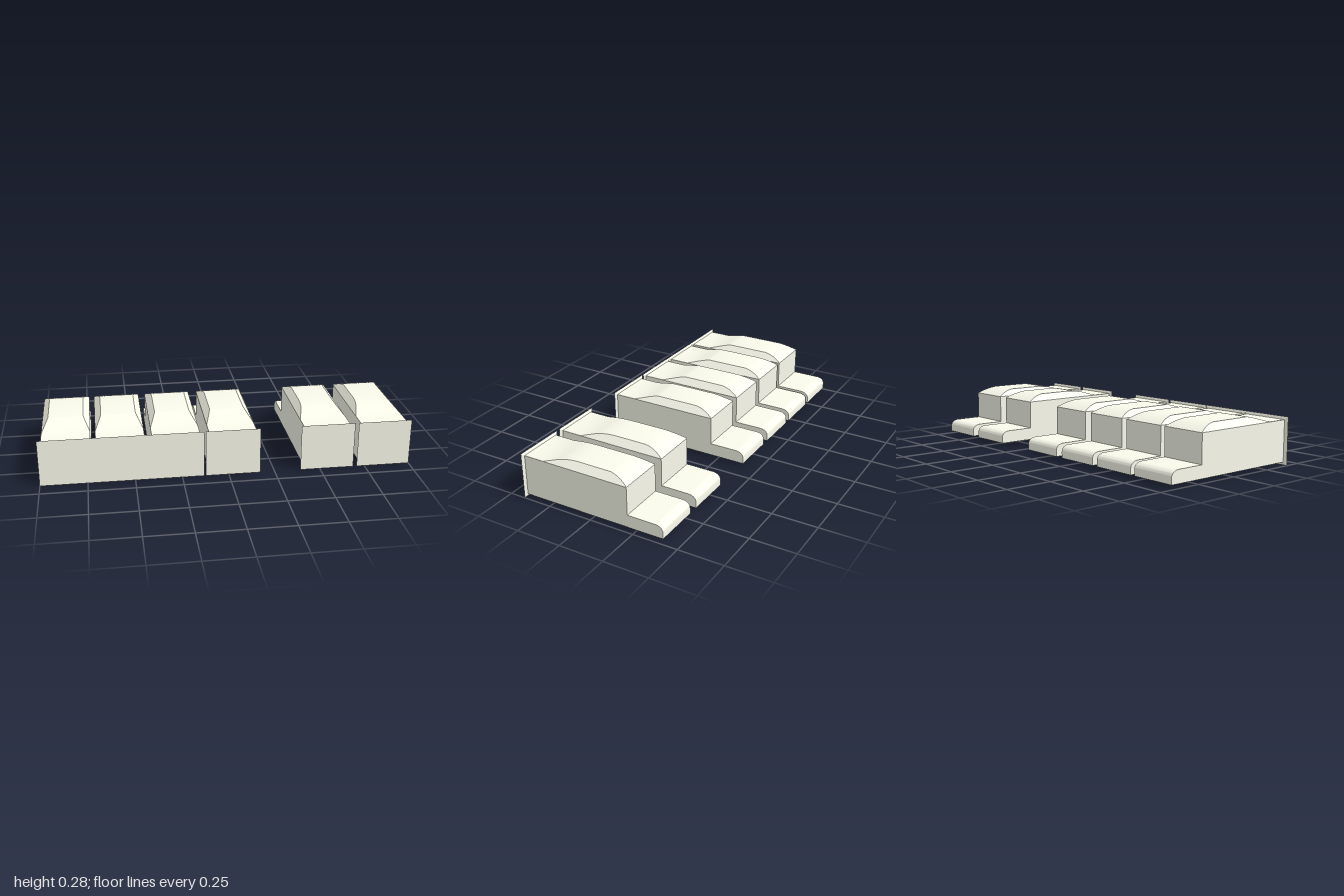
import * as THREE from 'three';
import { toCreasedNormals } from 'three/addons/utils/BufferGeometryUtils.js';

const W = 0.256;        // key width
const DECK = 0.241;     // height where the crown starts
const BOTTOM = 0.017;
const FRONT = 0.404, BACK = -0.21, END = -0.411;

// Stepped side profile with a rounded foot, extruded across the key
function bodyGeometry() {
  const s = new THREE.Shape();
  s.moveTo(FRONT, BOTTOM);
  s.lineTo(FRONT, DECK);
  s.lineTo(BACK, DECK);
  s.lineTo(BACK, 0.086);
  s.lineTo(-0.365, 0.086);
  s.bezierCurveTo(-0.39, 0.086, END, 0.073, END, 0.05);
  s.lineTo(END, BOTTOM);
  s.closePath();
  const g = new THREE.ExtrudeGeometry(s, { depth: W, bevelEnabled: false, curveSegments: 10 });
  g.translate(0, 0, -W / 2);
  g.rotateY(-Math.PI / 2);
  return toCreasedNormals(g, 0.5);
}

// Top skin: flat deck blending into a crown whose sides slope in at about 45 degrees
function crownGeometry(rounded) {
  const rise = rounded
    ? [[0.2, 0.0255], [0.17, 0.031], [0.14, 0.0345], [0.115, 0.0362], [0.09, 0.037]]
    : [[0.2, 0.0255], [0.165, 0.0345], [0.15, 0.037]];
  const stations = [[FRONT, 0.0005], [0.287, 0.0005], ...rise, [-0.1, 0.037]];
  for (let i = 1; i <= 8; i++) {
    const t = i / 8;
    stations.push([-0.1 - 0.11 * t, 0.037 - 0.012 * t - 0.024 * t * t]);
  }
  const pos = [], index = [];
  stations.forEach(([z, h], i) => {
    const w = W / 2, inner = w - 0.93 * h;
    pos.push(-w, DECK, z, -inner, DECK + h, z, inner, DECK + h, z, w, DECK, z);
    if (i === 0) return;
    for (let j = 0; j < 3; j++) {
      const a = (i - 1) * 4 + j, d = i * 4 + j;
      index.push(a, a + 1, d + 1, a, d + 1, d);
    }
  });
  const g = new THREE.BufferGeometry();
  g.setAttribute('position', new THREE.Float32BufferAttribute(pos, 3));
  g.setIndex(index);
  return toCreasedNormals(g, 0.45);
}

// Thin front plate that tapers back to the key's own outline
function plateGeometry() {
  const w = 0.294, h = 0.257, d = 0.007;
  const g = new THREE.BoxGeometry(w, h, d);
  const p = g.attributes.position;
  for (let i = 0; i < p.count; i++) {
    if (p.getZ(i) < 0) {
      p.setX(i, p.getX(i) * W / w);
      p.setY(i, p.getY(i) * (DECK - BOTTOM) / h);
    }
  }
  g.computeVertexNormals();
  g.translate(0, h / 2, FRONT + d / 2);
  return g;
}

export function createModel() {
  const model = new THREE.Group();
  model.name = 'keyRow';
  const ivory = new THREE.MeshStandardMaterial({ color: 0xfafbec, side: THREE.DoubleSide });
  const body = bodyGeometry(), plate = plateGeometry();
  const straight = crownGeometry(false), rounded = crownGeometry(true);

  // Four keys, a gap, then two keys with softer crowns
  [-0.853, -0.571, -0.279, 0.024, 0.539, 0.853].forEach((x, i) => {
    const key = new THREE.Group();
    key.name = 'key' + (i + 1);
    const parts = { body, crown: i < 4 ? straight : rounded, frontPlate: plate };
    for (const [name, geometry] of Object.entries(parts)) {
      const mesh = new THREE.Mesh(geometry, ivory);
      mesh.name = name;
      key.add(mesh);
    }
    key.position.x = x;
    model.add(key);
  });
  return model;
}
